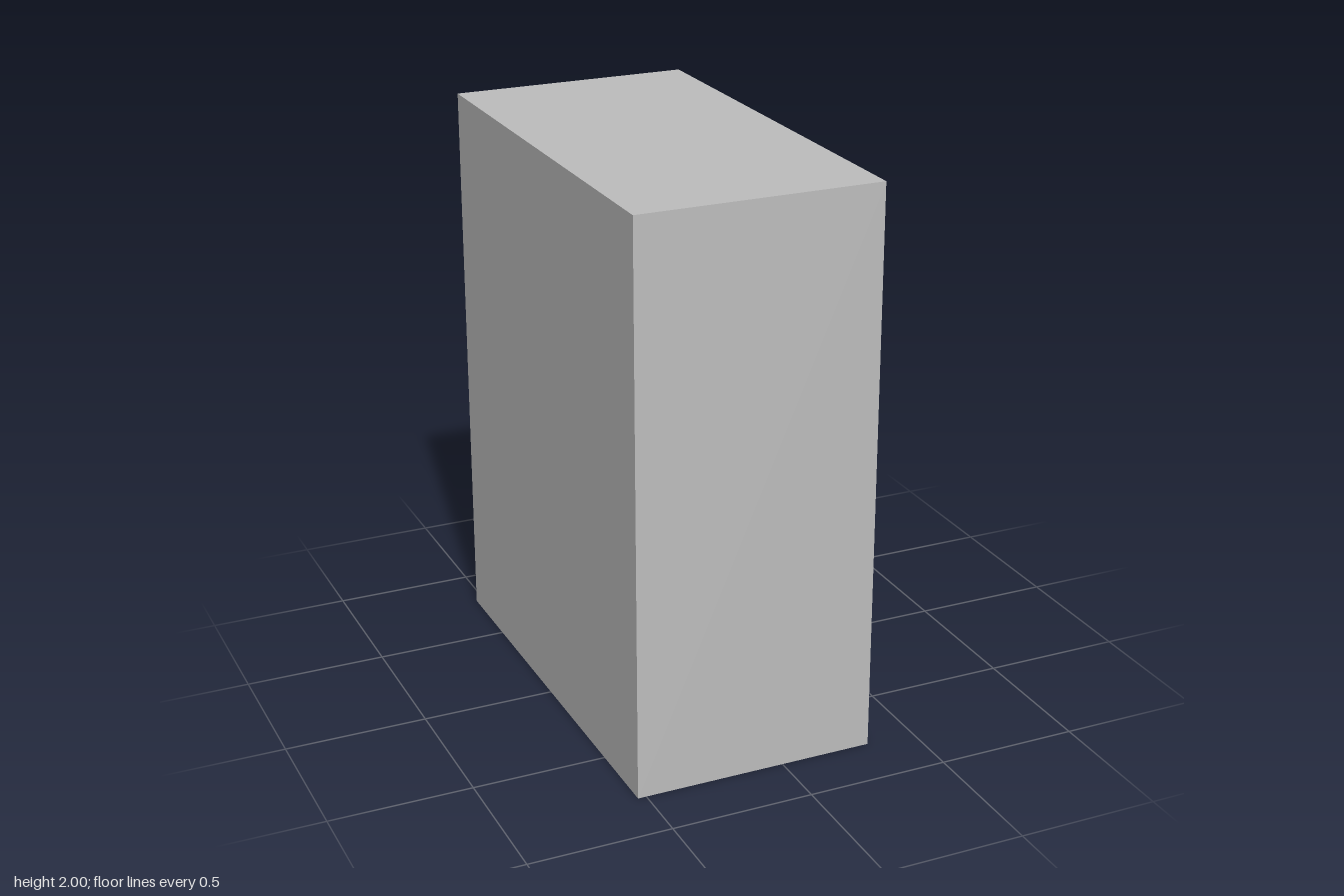
import * as THREE from 'three';

export function createModel() {
  const group = new THREE.Group();
  const grey = new THREE.MeshStandardMaterial({ color: 0xbebebe });
  grey.name = 'plain grey';

  const left = -0.53, right = 0.325, halfDepth = 0.787, height = 2;
  const portY = 1.43, outerR = 0.285, rimR = 0.25, boreR = 0.2;
  const length = 0.205, chamfer = 0.035, boreFloor = -0.22;
  const segments = 64;

  const add = (name, geometry, parent = group) => {
    const mesh = new THREE.Mesh(geometry, grey);
    mesh.name = name;
    parent.add(mesh);
    return mesh;
  };

  // Block, leaving out its +x face, which has the port opening
  const block = new THREE.BoxGeometry(right - left, height, halfDepth * 2);
  block.setIndex(Array.from(block.index.array).slice(6));
  block.clearGroups();
  block.translate((left + right) / 2, height / 2, 0);
  add('block', block);

  // Side face with a round opening under the collar
  const panel = new THREE.Shape();
  panel.moveTo(-halfDepth, 0);
  panel.lineTo(halfDepth, 0);
  panel.lineTo(halfDepth, height);
  panel.lineTo(-halfDepth, height);
  panel.closePath();
  const opening = new THREE.Path();
  opening.absarc(0, portY, outerR, 0, Math.PI * 2, true);
  panel.holes.push(opening);
  const face = new THREE.ShapeGeometry(panel, segments / 2);
  face.rotateY(Math.PI / 2);
  face.translate(right, 0, 0);
  add('portFace', face);

  // Chamfered collar and blind bore, one lathe per surface for crisp edges
  const port = new THREE.Group();
  port.name = 'port';
  port.position.set(right, portY, 0);
  port.rotation.z = -Math.PI / 2;
  group.add(port);

  const surfaces = [
    ['collarWall', outerR, 0, outerR, length - chamfer],
    ['collarChamfer', outerR, length - chamfer, rimR, length],
    ['collarRim', rimR, length, boreR, length],
    ['boreWall', boreR, length, boreR, boreFloor],
    ['boreFloor', boreR, boreFloor, 0, boreFloor],
  ];
  for (const [name, r1, y1, r2, y2] of surfaces) {
    const profile = [new THREE.Vector2(r1, y1), new THREE.Vector2(r2, y2)];
    add(name, new THREE.LatheGeometry(profile, segments), port);
  }

  return group;
}
